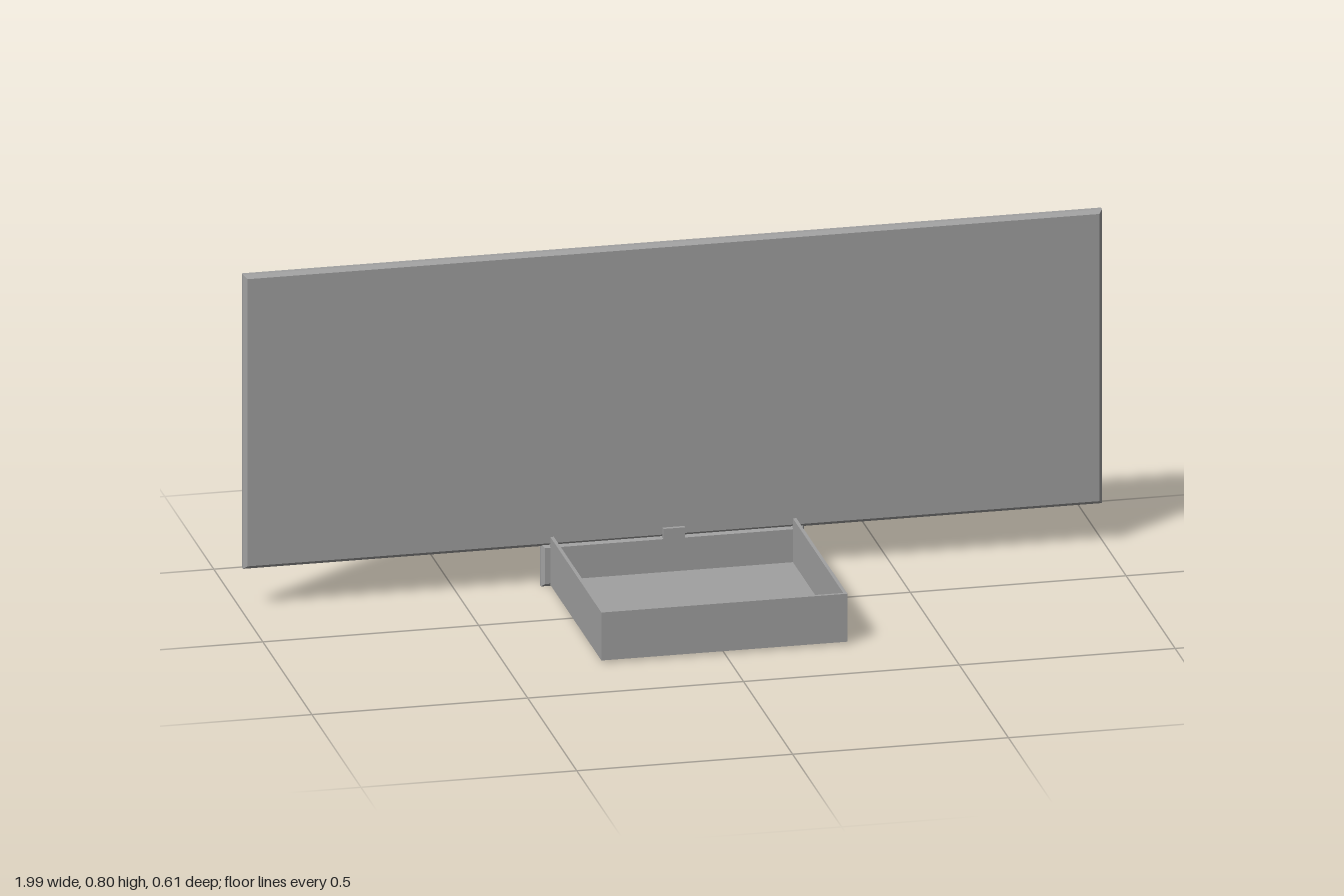
import * as THREE from 'three';

export function createModel() {
  const model = new THREE.Group();
  const grey = new THREE.MeshStandardMaterial({ color: 0xa0a0a0 });
  grey.name = 'plain grey';
  const BACK = -0.243; // rear face of the main panel

  const add = (name, geo, x = 0, y = 0, z = 0) => {
    const m = new THREE.Mesh(geo, grey);
    m.name = name;
    m.position.set(x, y, z);
    model.add(m);
    return m;
  };

  const box = (name, x0, x1, y0, y1, z0, z1) =>
    add(name, new THREE.BoxGeometry(x1 - x0, y1 - y0, z1 - z0), (x0 + x1) / 2, (y0 + y1) / 2, (z0 + z1) / 2);

  const rect = (P, x0, x1, y0, y1) => {
    const p = new P();
    p.moveTo(x0, y0); p.lineTo(x1, y0); p.lineTo(x1, y1); p.lineTo(x0, y1);
    p.closePath();
    return p;
  };

  // Bevelled block; an optional rim leaves an opening through it
  const bevelled = (name, x0, x1, y0, y1, z0, z1, bevel, rim = 0) => {
    const s = rect(THREE.Shape, x0, x1, y0, y1);
    if (rim) s.holes.push(rect(THREE.Path, x0 + rim, x1 - rim, y0 + rim, y1 - rim));
    const geo = new THREE.ExtrudeGeometry(s, {
      depth: z1 - z0 - 2 * bevel, bevelEnabled: true, bevelSegments: 1,
      bevelSize: bevel, bevelThickness: bevel, bevelOffset: -bevel,
    });
    return add(name, geo, 0, 0, z0 + bevel);
  };

  const rod = (name, r, length, axis, x, y, z) => {
    const geo = new THREE.CylinderGeometry(r, r, length, 12);
    if (axis === 'x') geo.rotateZ(Math.PI / 2);
    if (axis === 'z') geo.rotateX(Math.PI / 2);
    return add(name, geo, x, y, z);
  };

  const dots = (name, x0, x1, n, y, z) => {
    for (let i = 0; i < n; i++) {
      const x = x0 + (x1 - x0) * i / (n - 1);
      box(name, x - 0.006, x + 0.006, y - 0.004, y + 0.004, z - 0.005, z + 0.005);
    }
  };

  // Main panel and corner screws
  bevelled('mainPanel', -0.995, 0.995, 0.1, 0.805, BACK, -0.215, 0.008);
  for (const x of [-0.95, 0.95]) for (const y of [0.13, 0.76])
    add('cornerScrew', new THREE.SphereGeometry(0.012, 12, 8), x, y, BACK);

  // Open drawer
  bevelled('drawerFront', -0.305, 0.305, 0.003, 0.105, BACK, -0.215, 0.008);
  box('drawerFloor', -0.285, 0.285, 0.008, 0.018, -0.22, 0.305);
  for (const s of [-1, 1])
    box('drawerSide', s * 0.281 - 0.004, s * 0.281 + 0.004, 0.008, 0.123, -0.22, 0.305);
  box('drawerEnd', -0.285, 0.285, 0.008, 0.123, 0.297, 0.305);
  box('drawerCatch', -0.025, 0.025, 0.1, 0.125, -0.22, -0.205);

  // Drawer pull
  rod('drawerHandle', 0.011, 0.33, 'x', 0, 0.094, -0.291);
  for (const x of [-0.13, 0.13]) rod('handlePost', 0.008, 0.055, 'z', x, 0.094, -0.265);
  dots('ventDot', -0.12, 0.12, 7, 0.118, BACK);

  // Wide housing with a raised cover
  bevelled('wideHousing', 0.255, 0.98, 0.12, 0.365, -0.297, -0.218, 0.02);
  box('wideCover', 0.305, 0.93, 0.16, 0.33, -0.302, -0.29);

  // Slotted bars with their name plates
  const slotBar = (x0, x1, y0, y1, z) => {
    bevelled('slotBar', x0, x1, y0, y1, z, -0.22, 0.01, 0.022);
    box('slotFloor', x0 + 0.015, x1 - 0.015, y0 + 0.015, y1 - 0.015, z + 0.025, -0.23);
    rod('slotRail', 0.007, x1 - x0 - 0.05, 'x', (x0 + x1) / 2, (y0 + y1) / 2, z - 0.003);
  };
  slotBar(0.335, 0.93, 0.455, 0.535, -0.29);
  slotBar(-0.2, 0.1, 0.155, 0.232, -0.297);
  const plate = (x0, x1, y0, y1) => box('namePlate', x0, x1, y0, y1, BACK - 0.005, BACK + 0.003);
  plate(0.43, 0.83, 0.573, 0.625);
  plate(-0.13, 0.06, 0.24, 0.285);
  plate(-0.51, -0.34, 0.752, 0.792);

  // Tall frame with recessed centre and side rod
  bevelled('tallFrame', -0.58, -0.31, 0.18, 0.745, -0.275, -0.22, 0.01, 0.035);
  box('tallFrameFloor', -0.56, -0.33, 0.2, 0.725, -0.262, -0.23);
  rod('sideRod', 0.006, 0.5, 'y', -0.285, 0.465, -0.25);

  // Upright box with a small plate and dots
  bevelled('uprightBox', -0.89, -0.66, 0.135, 0.52, -0.297, -0.218, 0.02);
  box('boxPlate', -0.83, -0.7, 0.213, 0.26, -0.303, -0.29);
  dots('boxDot', -0.82, -0.73, 5, 0.177, -0.299);

  return model;
}
